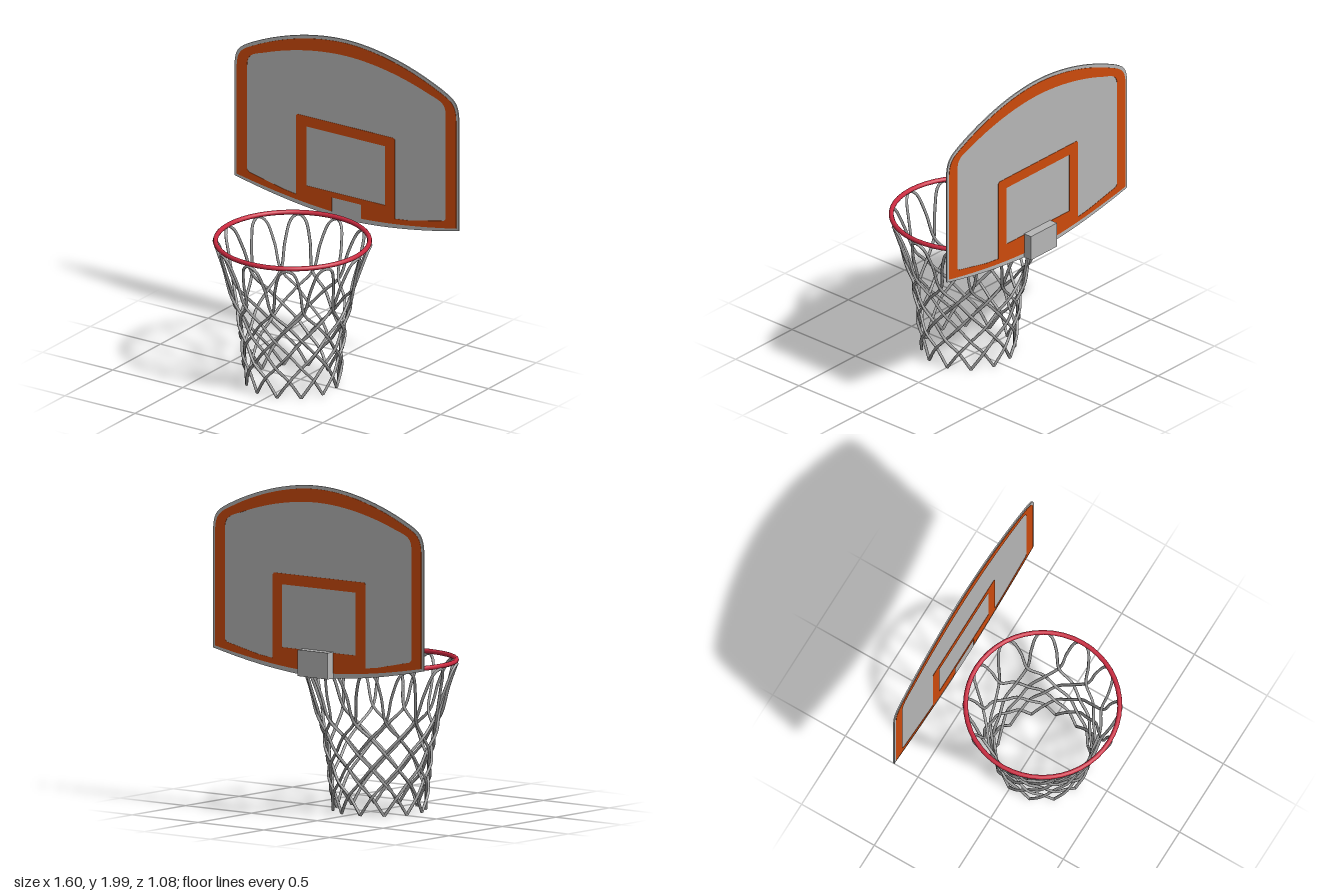
import * as THREE from 'three';

const V2 = (x, y) => new THREE.Vector2(x, y);
const mirror = (pts) => pts.map((p) => V2(-p.x, p.y)).reverse();
const bezier = (a, b, c, d, n = 14) =>
  new THREE.CubicBezierCurve(V2(...a), V2(...b), V2(...c), V2(...d)).getPoints(n);

// Right half of a board edge: straight side, rounded shoulder, shallow crown ending at x = 0
function upperHalf(w, sideY, shoulder, topY) {
  const [sx, sy] = shoulder;
  const corner = bezier([w, sideY], [w, sideY + (sy - sideY) * 0.65], [w - (w - sx) * 0.25, sy - (sy - sideY) * 0.24], shoulder);
  const crown = bezier(shoulder, [sx * 0.66, sy + (topY - sy) * 0.67], [sx * 0.3, topY], [0, topY]);
  return [...corner, ...crown.slice(1)];
}

// Right half of the shallow bowed bottom edge, from x0 out to the side
function lowerHalf(x0, midY, w, sideY) {
  const pts = new THREE.QuadraticBezierCurve(V2(0, midY), V2(w * 0.44, midY + 0.006), V2(w, sideY)).getPoints(24);
  return pts.filter((p) => p.x >= x0);
}

function plate(shape, depth, z, material, name) {
  const geo = new THREE.ExtrudeGeometry(shape, { depth, bevelEnabled: false });
  const mesh = new THREE.Mesh(geo, material);
  mesh.position.z = z;
  mesh.name = name;
  return mesh;
}

export function createModel() {
  const model = new THREE.Group();
  model.name = 'basketballHoop';

  const mat = (name, color) => {
    const m = new THREE.MeshStandardMaterial({ color });
    m.name = name;
    return m;
  };
  const grey = mat('boardGrey', 0xb6b6b6);
  const orange = mat('paintOrange', 0xcc4a0c);
  const red = mat('rimRed', 0xcb2a40);
  const cord = mat('netGrey', 0x9c9c9c);

  // Backboard panel
  const boardZ = -0.49, boardDepth = 0.008;
  const boardTop = upperHalf(0.8, 1.65, [0.68, 1.835], 2);
  const boardLow = lowerHalf(0, 0.86, 0.8, 0.967);
  const boardShape = new THREE.Shape([
    ...boardLow, ...boardTop, ...mirror(boardTop).slice(1), ...mirror(boardLow).slice(0, -1),
  ]);
  model.add(plate(boardShape, boardDepth, boardZ, grey, 'backboard'));

  // Painted border with a notch at the bottom centre
  const notch = 0.105;
  const paintTop = upperHalf(0.783, 1.65, [0.665, 1.818], 1.98);
  const paintLow = [V2(notch, 0.98), V2(notch, 0.892), ...lowerHalf(notch + 0.01, 0.888, 0.783, 0.98)];
  const paint = new THREE.Shape([
    ...paintLow, ...paintTop, ...mirror(paintTop).slice(1), ...mirror(paintLow),
  ]);
  // Unpainted field around the target rectangle
  const fieldTop = upperHalf(0.709, 1.68, [0.59, 1.79], 1.9);
  paint.holes.push(new THREE.Path([
    V2(0.345, 0.945), V2(0.45, 0.957), V2(0.695, 1.01), V2(0.709, 1.025),
    ...fieldTop, ...mirror(fieldTop).slice(1),
    V2(-0.709, 1.025), V2(-0.695, 1.01), V2(-0.45, 0.957), V2(-0.36, 0.945),
    V2(-0.36, 1.445), V2(-0.35, 1.455), V2(0.335, 1.455), V2(0.345, 1.445),
  ]));
  // Inside of the target rectangle
  paint.holes.push(new THREE.Path([
    V2(-0.285, 1.015), V2(0.275, 1.015), V2(0.275, 1.39), V2(-0.285, 1.39),
  ]));
  const paintDepth = 0.002;
  model.add(plate(paint, paintDepth, boardZ + boardDepth, orange, 'frontPaint'));
  model.add(plate(paint, paintDepth, boardZ - paintDepth, orange, 'backPaint'));

  // Mounting block behind the board
  const block = new THREE.Mesh(new THREE.BoxGeometry(0.23, 0.157, 0.056), grey);
  block.position.set(0, 0.942, -0.517);
  block.name = 'mountingBlock';
  model.add(block);

  // Rim and net share one centre
  const hoop = new THREE.Group();
  hoop.name = 'hoop';
  hoop.position.set(-0.013, 0, 0.065);
  model.add(hoop);

  const rim = new THREE.Mesh(new THREE.TorusGeometry(0.455, 0.0145, 10, 48), red);
  rim.rotation.x = Math.PI / 2;
  rim.position.y = 0.906;
  rim.name = 'rim';
  hoop.add(rim);

  // Net: each cord hangs over the rim and winds down both ways, crossing its neighbours.
  // Rows are [step, height, radius]; one step turns by 15 degrees.
  const rows = [
    [0.35, 0.865, 0.45], [0.7, 0.74, 0.408], [1, 0.58, 0.362], [2, 0.48, 0.334], [3, 0.385, 0.315],
    [4, 0.295, 0.303], [5, 0.205, 0.294], [6, 0.12, 0.285], [7, 0.012, 0.275],
  ];
  const loops = 12;
  const cordPoint = (step, y, r, side) => {
    const weave = step >= 1 && step < 7 ? (step % 2 ? 0.006 : -0.006) * side : 0;
    const a = (side * step * Math.PI) / loops;
    return new THREE.Vector3(Math.sin(a) * (r + weave), y, Math.cos(a) * (r + weave));
  };
  const path = new THREE.CatmullRomCurve3([
    ...rows.map((row) => cordPoint(...row, -1)).reverse(),
    cordPoint(0, 0.892, 0.464, 1),
    ...rows.map((row) => cordPoint(...row, 1)),
  ]);
  const cordGeo = new THREE.TubeGeometry(path, 110, 0.009, 6);
  const net = new THREE.Group();
  net.name = 'net';
  for (let i = 0; i < loops; i++) {
    const strand = new THREE.Mesh(cordGeo, cord);
    strand.rotation.y = (i / loops) * Math.PI * 2;
    strand.name = 'netCord';
    net.add(strand);
  }
  hoop.add(net);

  return model;
}
